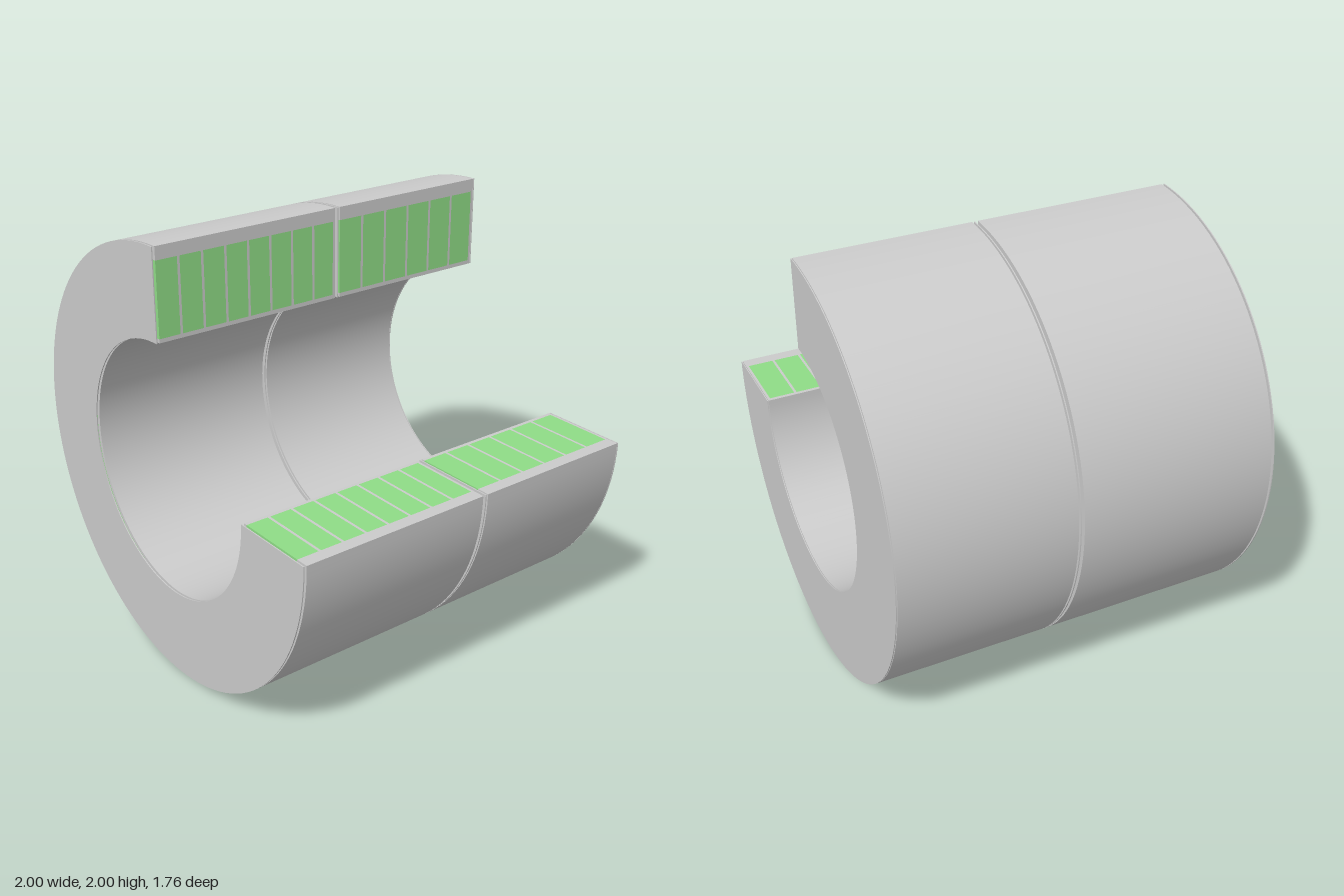
import * as THREE from 'three';
import { toCreasedNormals } from 'three/addons/utils/BufferGeometryUtils.js';

const grey = new THREE.MeshStandardMaterial({ color: 0xcccccc });
const green = new THREE.MeshStandardMaterial({ color: 0x8fdc86 });

const INNER = 0.585, OUTER = 1; // ring radii
const CORE_IN = 0.603, CORE_OUT = 0.94; // radii of the layered core
const START = Math.PI / 2, END = Math.PI * 2; // upper +x quadrant is cut away

// Three-quarter ring between two radii, spanning zBack..zFront
function ringSector(name, rIn, rOut, zBack, zFront, material) {
  const shape = new THREE.Shape();
  shape.absarc(0, 0, rOut, START, END, false);
  shape.absarc(0, 0, rIn, END, START, true);
  shape.closePath();
  const geometry = new THREE.ExtrudeGeometry(shape, {
    depth: zFront - zBack, bevelEnabled: false, curveSegments: 48,
  });
  const mesh = new THREE.Mesh(toCreasedNormals(geometry, 0.5), material);
  mesh.position.set(0, 1, zBack);
  mesh.name = name;
  return mesh;
}

// Cylinder section: outer and inner sleeves around alternating core layers and spacers
function section(name, zFront, zBack, layers) {
  const group = new THREE.Group();
  group.name = name;
  group.add(
    ringSector('outerSleeve', CORE_OUT, OUTER, zBack, zFront, grey),
    ringSector('innerSleeve', INNER, CORE_IN, zBack, zFront, grey),
  );
  const pitch = (zFront - zBack) / layers, spacer = 0.012;
  for (let i = 0; i < layers; i++) {
    const front = zFront - i * pitch, back = front - pitch;
    group.add(
      ringSector('coreLayer', CORE_IN, CORE_OUT, back + spacer, front, green),
      ringSector('spacer', CORE_IN, CORE_OUT, back, back + spacer, grey),
    );
  }
  return group;
}

export function createModel() {
  const model = new THREE.Group();
  model.name = 'cutawayRing';
  model.add(
    section('frontSection', 0.865, -0.048, 8),
    section('backSection', -0.075, -0.873, 6),
  );
  // Thin plates standing just clear of the sections
  model.add(
    ringSector('frontPlate', INNER, OUTER, 0.875, 0.88, grey),
    ringSector('middlePlate', INNER, OUTER, -0.067, -0.062, grey),
    ringSector('backPlate', INNER, OUTER, -0.88, -0.876, grey),
  );
  return model;
}
